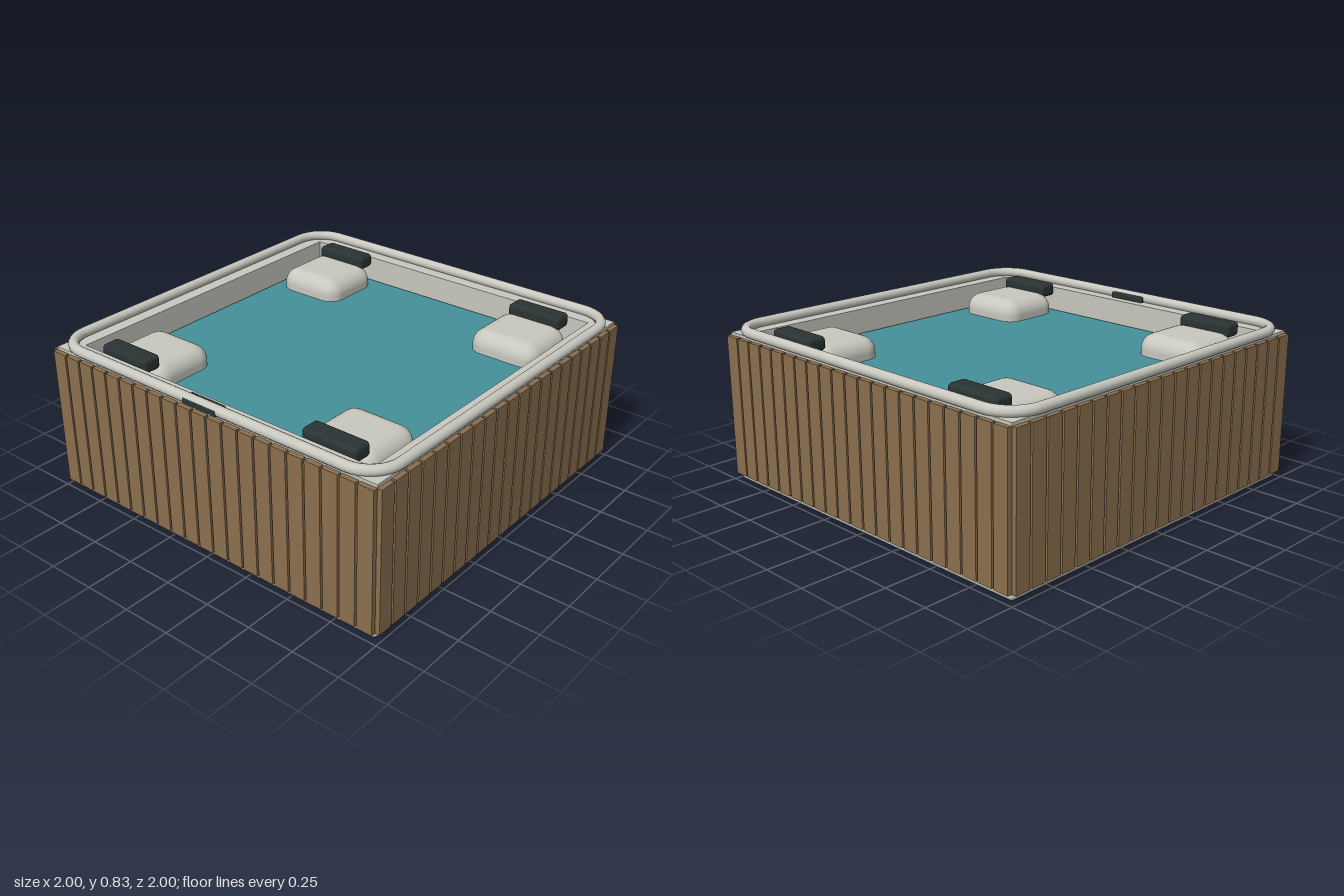
import * as THREE from 'three';
import { RoundedBoxGeometry } from 'three/addons/geometries/RoundedBoxGeometry.js';

const mat = (name, color) => Object.assign(new THREE.MeshStandardMaterial({ color }), { name });

export function createModel() {
  const shell = mat('warm grey shell', 0xc8c8c0);
  const wood = mat('wood', 0x8b6f4e);
  const water = mat('water', 0x45909a);
  const dark = mat('dark cushion', 0x2a3333);

  const tub = new THREE.Group();
  tub.name = 'hotTub';

  const add = (name, geometry, material, x, y, z, parent = tub) => {
    const mesh = new THREE.Mesh(geometry, material);
    mesh.name = name;
    mesh.position.set(x, y, z);
    parent.add(mesh);
    return mesh;
  };
  const box = (w, h, d) => new THREE.BoxGeometry(w, h, d);
  const rounded = (w, h, d, r) => new RoundedBoxGeometry(w, h, d, 4, r);

  // Base tray
  add('base', rounded(1.956, 0.11, 1.956, 0.025), shell, 0, 0.055, 0);

  // Four walls of the shell
  for (const s of [-1, 1]) {
    add('endWall', box(1.76, 0.705, 0.095), shell, 0, 0.4325, s * 0.9275);
    add('sideWall', box(0.095, 0.705, 1.95), shell, s * 0.9275, 0.4325, 0);
  }

  // Vertical cladding slats, 21 on each side
  const slat = box(0.082, 0.73, 0.027);
  for (let side = 0; side < 4; side++) {
    const cladding = new THREE.Group();
    cladding.name = 'cladding';
    cladding.rotation.y = side * Math.PI / 2;
    for (let i = -10; i <= 10; i++) {
      add('slat', slat, wood, i * 0.0935, 0.405, 0.9865, cladding);
    }
    tub.add(cladding);
  }

  // Water surface
  add('water', box(1.72, 0.008, 1.72), water, 0, 0.656, 0);

  // Corner seats, backrests and headrests
  for (const sx of [-1, 1]) {
    for (const sz of [-1, 1]) {
      add('seat', rounded(0.5, 0.5, 0.48, 0.08), shell, sx * 0.635, 0.38, sz * 0.64);
      add('backrest', rounded(0.38, 0.22, 0.36, 0.08), shell, sx * 0.625, 0.66, sz * 0.64);
      add('headrest', rounded(0.3, 0.075, 0.105, 0.022), dark, sx * 0.63, 0.78, sz * 0.815);
    }
  }

  // Tubular rim following a rounded square
  const half = 0.966, r = 0.16, k = r * 0.4477;
  const path = new THREE.CurvePath();
  const up = new THREE.Vector3(0, 1, 0);
  for (let i = 0; i < 4; i++) {
    const p = (x, z) => new THREE.Vector3(x, 0, z).applyAxisAngle(up, i * Math.PI / 2);
    path.add(new THREE.LineCurve3(p(r - half, half), p(half - r, half)));
    path.add(new THREE.CubicBezierCurve3(
      p(half - r, half), p(half - k, half), p(half, half - k), p(half, half - r)));
  }
  add('rim', new THREE.TubeGeometry(path, 240, 0.026, 14, true), shell, 0, 0.804, 0);

  // Control panel set into the front rim
  add('controlPanel', rounded(0.21, 0.032, 0.07, 0.008), dark, 0, 0.799, 0.958);

  return tub;
}
